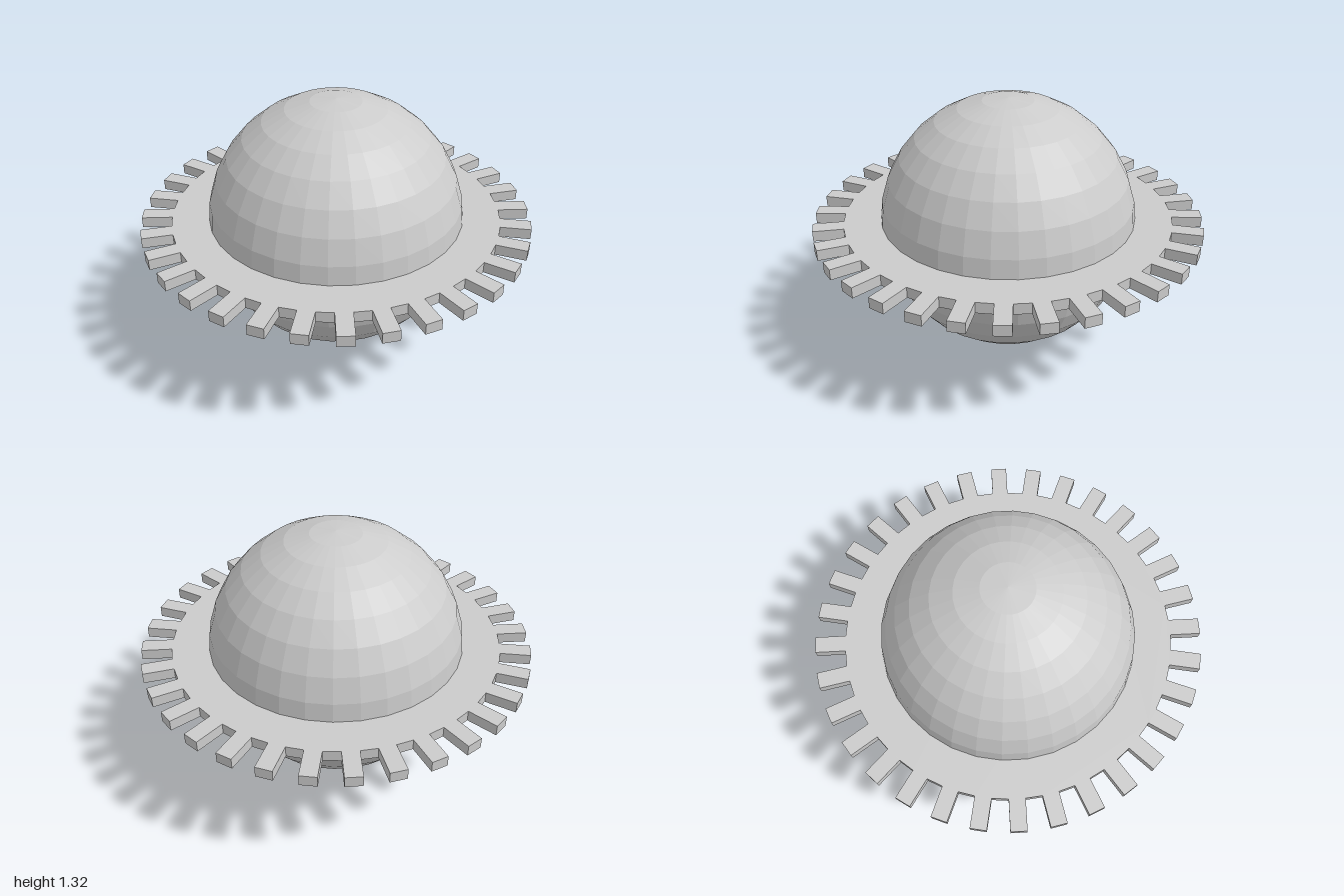
import * as THREE from 'three';

const CENTER_Y = 0.66;
const SPHERE_RADIUS = 0.66;
const TEETH = 32;
const ROOT_RADIUS = 0.846;
const TIP_RADIUS = 1.001;
const THICKNESS = 0.056;

// Toothed outline: every second side of a 64-gon is pushed straight outward
function gearShape() {
  const shape = new THREE.Shape();
  const half = Math.PI / (TEETH * 2);
  const halfWidth = ROOT_RADIUS * Math.sin(half);
  const root = ROOT_RADIUS * Math.cos(half);
  const corners = [[root, -halfWidth], [TIP_RADIUS, -halfWidth], [TIP_RADIUS, halfWidth], [root, halfWidth]];
  const points = [];
  for (let i = 0; i < TEETH; i++) {
    const angle = (i + 0.5) * 2 * Math.PI / TEETH;
    for (const [x, y] of corners) {
      points.push(new THREE.Vector2(x, y).rotateAround(new THREE.Vector2(), angle));
    }
  }
  shape.setFromPoints(points);
  // Inner edge, hidden within the sphere
  const hole = new THREE.Path();
  hole.absarc(0, 0, SPHERE_RADIUS * 0.94, 0, Math.PI * 2, true);
  shape.holes.push(hole);
  return shape;
}

export function createModel() {
  const group = new THREE.Group();
  group.name = 'toothedRingedSphere';
  const material = new THREE.MeshStandardMaterial({ color: 0xcccccc, flatShading: true });

  // Faceted ball
  const sphere = new THREE.Mesh(new THREE.SphereGeometry(SPHERE_RADIUS, 32, 16), material);
  sphere.name = 'sphere';
  sphere.position.y = CENTER_Y;
  group.add(sphere);

  // Flat ring with square teeth around the equator
  const ringGeometry = new THREE.ExtrudeGeometry(gearShape(), {
    depth: THICKNESS, bevelEnabled: false, curveSegments: 32,
  });
  ringGeometry.translate(0, 0, -THICKNESS / 2).rotateX(-Math.PI / 2);
  const ring = new THREE.Mesh(ringGeometry, material);
  ring.name = 'toothedRing';
  ring.position.y = CENTER_Y + 0.004;
  group.add(ring);

  return group;
}
